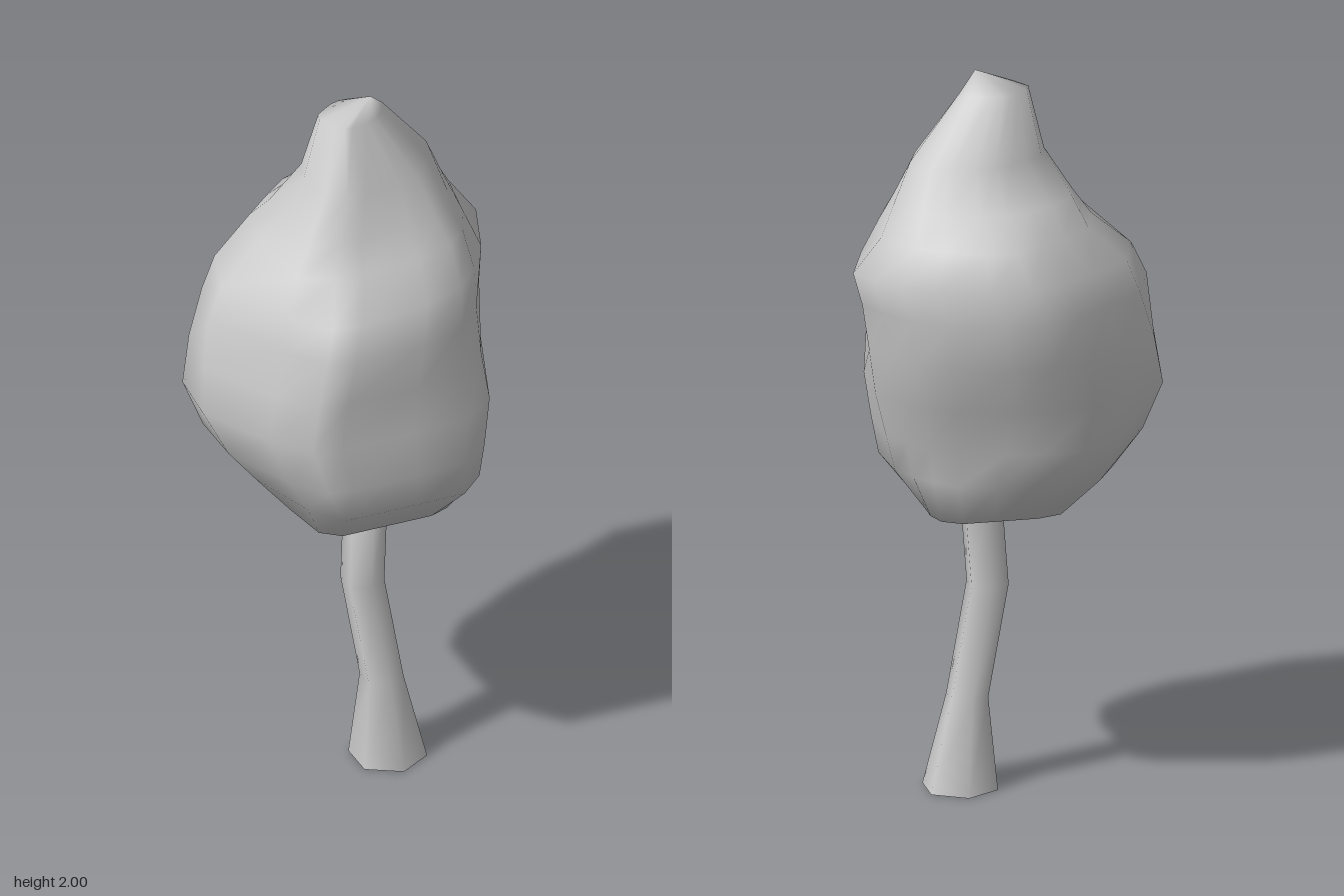
import * as THREE from 'three';

// Skin a stack of rings. Each ring is [y, xMin, xMax, zMin, zMax, corners] and
// stretches the outline (points within -1..1, clockwise from above) to those limits.
// corners = [frontLeft, frontRight, backRight, backLeft] swell (+) or flatten (-)
// the ring's diagonals.
function loft(outline, rings, bottom, top) {
  const n = outline.length, pos = [], index = [];
  const clamp = (t) => THREE.MathUtils.clamp(t, -1, 1);
  for (const [y, x0, x1, z0, z1, corners = [0, 0, 0, 0]] of rings) {
    for (const [u, v] of outline) {
      const k = corners[v > 0 ? (u > 0 ? 0 : 1) : (u > 0 ? 3 : 2)];
      const s = 1 + k * 2 * Math.abs(u * v) / (u * u + v * v);
      pos.push(
        (x0 + x1) / 2 + clamp(u * s) * (x1 - x0) / 2,
        y,
        (z0 + z1) / 2 + clamp(v * s) * (z1 - z0) / 2
      );
    }
  }
  for (let r = 0; r < rings.length - 1; r++) {
    for (let i = 0; i < n; i++) {
      const a = r * n + i, b = r * n + (i + 1) % n;
      index.push(b, a, a + n, b, a + n, b + n);
    }
  }
  // optional end points closing the shape
  if (bottom) {
    const p = pos.length / 3;
    pos.push(...bottom);
    for (let i = 0; i < n; i++) index.push(i, (i + 1) % n, p);
  }
  if (top) {
    const p = pos.length / 3, o = (rings.length - 1) * n;
    pos.push(...top);
    for (let i = 0; i < n; i++) index.push(o + (i + 1) % n, o + i, p);
  }
  const geo = new THREE.BufferGeometry();
  geo.setAttribute('position', new THREE.Float32BufferAttribute(pos, 3));
  geo.setIndex(index);
  geo.computeVertexNormals();
  return geo;
}

export function createModel() {
  const tree = new THREE.Group();
  tree.name = 'tree';

  // Crooked six-sided trunk, open at both ends
  const hexagon = [];
  for (let i = 0; i < 6; i++) {
    const t = Math.PI / 6 + i * Math.PI / 3;
    hexagon.push([-Math.cos(t) / Math.cos(Math.PI / 6), -Math.sin(t)]);
  }
  const trunk = new THREE.Mesh(
    loft(hexagon, [
      [0, 0, 0.18, -0.03, 0.18],
      [0.25, 0.02, 0.12, 0.02, 0.14],
      [0.56, -0.035, 0.065, 0.02, 0.14],
      [0.8, -0.01, 0.09, -0.015, 0.105],
    ]),
    new THREE.MeshStandardMaterial({ color: 0xcccccc, side: THREE.DoubleSide })
  );
  trunk.name = 'trunk';
  tree.add(trunk);

  // Lumpy crown, leaning forward low down and backward at the shoulder,
  // with a ridge running down its front right
  const lumpy = [
    [-1, 0.03], [-0.88, -0.42], [-0.6, -0.68], [-0.36, -0.88], [-0.1, -1], [0.18, -0.98],
    [0.55, -0.87], [0.77, -0.7], [0.91, -0.47], [1, -0.24], [0.9, 0.29], [0.76, 0.66],
    [0.55, 0.87], [0.19, 0.96], [-0.33, 1], [-0.53, 0.95], [-0.74, 0.65],
  ];
  const crown = new THREE.Mesh(
    loft(lumpy, [
      [0.8, -0.18, 0.2, -0.14, 0.23, [0.35, 0.2, 0.3, 0.18]],
      [0.92, -0.28, 0.3, -0.25, 0.345, [0.16, 0.06, 0.32, -0.1]],
      [1.02, -0.36, 0.325, -0.27, 0.365, [0.13, 0.02, 0.24, -0.08]],
      [1.15, -0.425, 0.35, -0.31, 0.36, [0.13, 0, 0.12, -0.01]],
      [1.28, -0.415, 0.37, -0.345, 0.365, [0.02, -0.03, 0.06, 0]],
      [1.41, -0.4, 0.395, -0.375, 0.38, [-0.08, -0.05, -0.03, -0.02]],
      [1.5, -0.355, 0.42, -0.35, 0.335, [-0.13, 0.02, 0, -0.02]],
      [1.6, -0.24, 0.35, -0.32, 0.245, [-0.02, 0.27, 0, -0.05]],
      [1.67, -0.19, 0.3, -0.21, 0.195, [-0.02, 0.28, 0.08, 0]],
      [1.78, -0.12, 0.25, -0.15, 0.15, [-0.12, 0.32, 0, 0]],
      [1.95, -0.08, 0.11, -0.06, 0.085, [-0.2, 0, 0, 0]],
    ], [-0.1, 0.735, 0.06], [0.06, 2, 0.03]),
    new THREE.MeshStandardMaterial({ color: 0xcccccc })
  );
  crown.name = 'crown';
  tree.add(crown);

  return tree;
}
